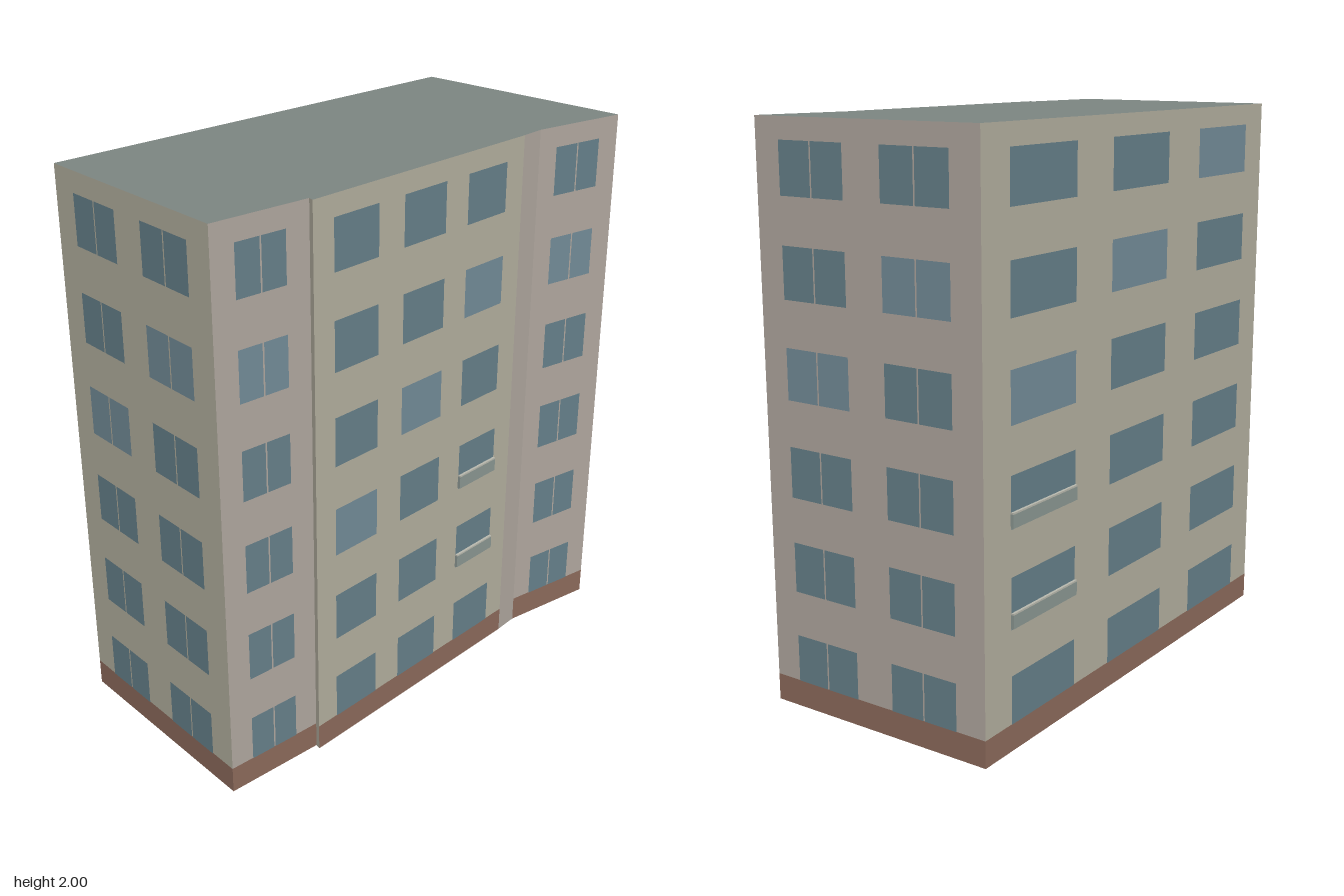
import * as THREE from 'three';

const HEIGHT = 2, BASE = 0.095, FLOORS = 6, PITCH = 0.333;
const mat = (color, side = THREE.FrontSide) => new THREE.MeshStandardMaterial({ color, side });
const MATS = {
  beige: mat(0xb3af9f), rose: mat(0xb0a79f), base: mat(0x8c6a5b), roof: mat(0x7d8682),
  glass: mat(0x66808a), paleGlass: mat(0x738c98), panel: mat(0x8b9792), rail: mat(0xb9b9ae),
};

// Walls in plan order, each from its corner [x, z] to the next wall's corner.
// windows: start and end as fractions of the wall; pale: floor of the first paler pane;
// balcony: column that carries the balconies.
const WALLS = [
  { name: 'frontWall', at: [-0.775, 0.615], color: 'beige', split: true, pale: 3, windows: [[0.13, 0.41], [0.58, 0.87]] },
  { name: 'frontSideWall', at: [-0.05, 1], color: 'rose', split: true, pale: 4, windows: [[0.235, 0.75]] },
  { name: 'cornerStep', at: [0.122, 0.677], color: 'beige', bare: true, windows: [] },
  { name: 'middleSideWall', at: [0.138, 0.69], color: 'beige', pale: 2, balcony: 2, windows: [[0.086, 0.283], [0.4, 0.6], [0.711, 0.909]] },
  { name: 'plainStrip', at: [0.535, -0.245], color: 'rose', bare: true, windows: [] },
  { name: 'rearSideWall', at: [0.568, -0.335], color: 'rose', split: true, pale: 4, windows: [[0.21, 0.76]] },
  { name: 'backWall', at: [0.775, -0.645], color: 'rose', split: true, pale: 3, windows: [[0.113, 0.41], [0.577, 0.873]] },
  { name: 'longWall', at: [-0.035, -1], color: 'beige', pale: 3, balcony: 0, windows: [[0.078, 0.28], [0.4, 0.603], [0.725, 0.926]] },
];

// Upright rectangle between two corners, in a wall's own frame
function pane(parent, name, material, x0, x1, y0, y1, z = 0) {
  const mesh = new THREE.Mesh(new THREE.PlaneGeometry(x1 - x0, y1 - y0), material);
  mesh.name = name;
  mesh.position.set((x0 + x1) / 2, (y0 + y1) / 2, z);
  parent.add(mesh);
}

// Shallow balcony: a front panel with a thin rail on top
function addBalcony(parent, x0, x1, y) {
  const balcony = new THREE.Group();
  balcony.name = 'balcony';
  const add = (name, material, h, yMid) => {
    const mesh = new THREE.Mesh(new THREE.BoxGeometry(x1 - x0, h, 0.011), material);
    mesh.name = name;
    mesh.position.set((x0 + x1) / 2, yMid, 0.0055);
    balcony.add(mesh);
  };
  add('balconyPanel', MATS.panel, 0.046, y + 0.023);
  add('balconyRail', MATS.rail, 0.006, y + 0.049);
  parent.add(balcony);
}

function buildWall(spec, next) {
  const wall = new THREE.Group();
  wall.name = spec.name;
  const dx = next.at[0] - spec.at[0], dz = next.at[1] - spec.at[1];
  const length = Math.hypot(dx, dz);
  wall.position.set(spec.at[0], 0, spec.at[1]);
  wall.rotation.y = Math.atan2(-dz, dx);

  const foot = spec.bare ? 0 : BASE;
  pane(wall, 'facade', MATS[spec.color], 0, length, foot, HEIGHT);
  if (!spec.bare) pane(wall, 'baseBand', MATS.base, 0, length, 0, BASE);

  spec.windows.forEach(([u0, u1], column) => {
    const x0 = u0 * length, x1 = u1 * length, mid = (x0 + x1) / 2;
    for (let floor = 0; floor < FLOORS; floor++) {
      const y0 = Math.max(0.087 + floor * PITCH, BASE), y1 = 0.262 + floor * PITCH;
      const material = floor - column === spec.pale ? MATS.paleGlass : MATS.glass;
      // Paired panes leave a narrow mullion of wall between them
      const spans = spec.split ? [[x0, mid - 0.003], [mid + 0.003, x1]] : [[x0, x1]];
      for (const [a, b] of spans) pane(wall, 'window', material, a, b, y0, y1, 0.002);
      if (spec.balcony === column && (floor === 1 || floor === 2)) addBalcony(wall, x0, x1, y0 + 0.005);
    }
  });
  return wall;
}

export function createModel() {
  const model = new THREE.Group();
  model.name = 'apartmentBlock';
  WALLS.forEach((spec, i) => model.add(buildWall(spec, WALLS[(i + 1) % WALLS.length])));

  // Flat roof and underside from the plan outline
  const plan = new THREE.Shape(WALLS.map(({ at: [x, z] }) => new THREE.Vector2(x, -z)));
  const roof = new THREE.Mesh(new THREE.ShapeGeometry(plan).rotateX(-Math.PI / 2), MATS.roof);
  roof.name = 'roof';
  roof.position.y = HEIGHT;
  const underside = new THREE.Mesh(roof.geometry, mat(0xb3af9f, THREE.BackSide));
  underside.name = 'underside';
  model.add(roof, underside);
  return model;
}
